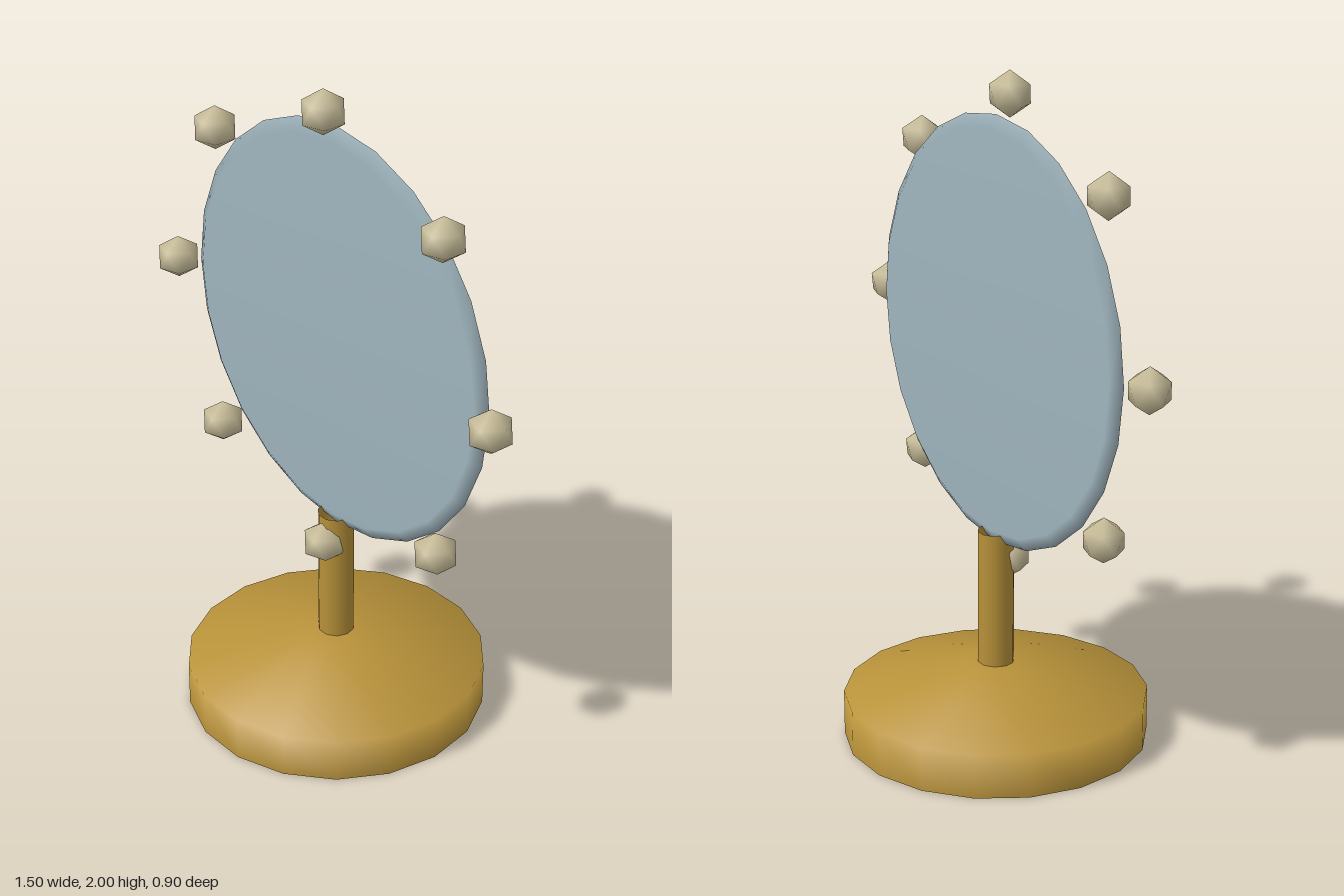
import * as THREE from 'three';

const points = (list) => list.map(([x, y]) => new THREE.Vector2(x, y));

function part(name, geometry, color, doubleSided = false) {
  const material = new THREE.MeshStandardMaterial({ color });
  if (doubleSided) material.side = THREE.DoubleSide;
  const mesh = new THREE.Mesh(geometry, material);
  mesh.name = name;
  return mesh;
}

// Smooth-shaded icosahedron standing on one of its corners
function bulbGeometry(radius) {
  const geometry = new THREE.IcosahedronGeometry(radius, 0);
  geometry.rotateZ(-Math.atan(2 / (1 + Math.sqrt(5))));
  const p = geometry.attributes.position;
  const v = new THREE.Vector3();
  for (let i = 0; i < p.count; i++) {
    v.fromBufferAttribute(p, i).normalize();
    geometry.attributes.normal.setXYZ(i, v.x, v.y, v.z);
  }
  return geometry;
}

export function createModel() {
  const model = new THREE.Group();
  model.name = 'bulbMirror';
  const brass = 0xb8923a, glass = 0x9fb4bd, cream = 0xcabf9a;
  const centreY = 1.245;

  // Hollow base, open underneath
  const baseProfile = points([[0.457, 0], [0.457, 0.137], [0.088, 0.23], [0, 0.23]]);
  const base = new THREE.LatheGeometry(baseProfile, 18).rotateY(Math.PI / 2);
  model.add(part('base', base, brass, true));

  // Tubular post
  const post = new THREE.CylinderGeometry(0.055, 0.055, 0.445, 10, 1, true).rotateY(Math.PI / 2);
  post.translate(0, 0.4225, 0);
  model.add(part('post', post, brass, true));

  // Mirror disc with a bevelled rim
  const discProfile = points([[0, -0.022], [0.597, -0.022], [0.635, 0], [0.597, 0.022], [0, 0.022]]);
  const disc = new THREE.LatheGeometry(discProfile, 24).rotateX(Math.PI / 2);
  disc.translate(0, centreY, 0);
  model.add(part('mirrorDisc', disc, glass));

  // Ring of bulbs in front of the rim
  const bulbs = new THREE.Group();
  bulbs.name = 'bulbs';
  const bulb = bulbGeometry(0.0675);
  for (let i = 0; i < 8; i++) {
    const a = (i * Math.PI) / 4;
    const mesh = part('bulb', bulb, cream);
    mesh.position.set(0.6875 * Math.cos(a), centreY + 0.6875 * Math.sin(a), 0.046);
    bulbs.add(mesh);
  }
  model.add(bulbs);
  return model;
}
